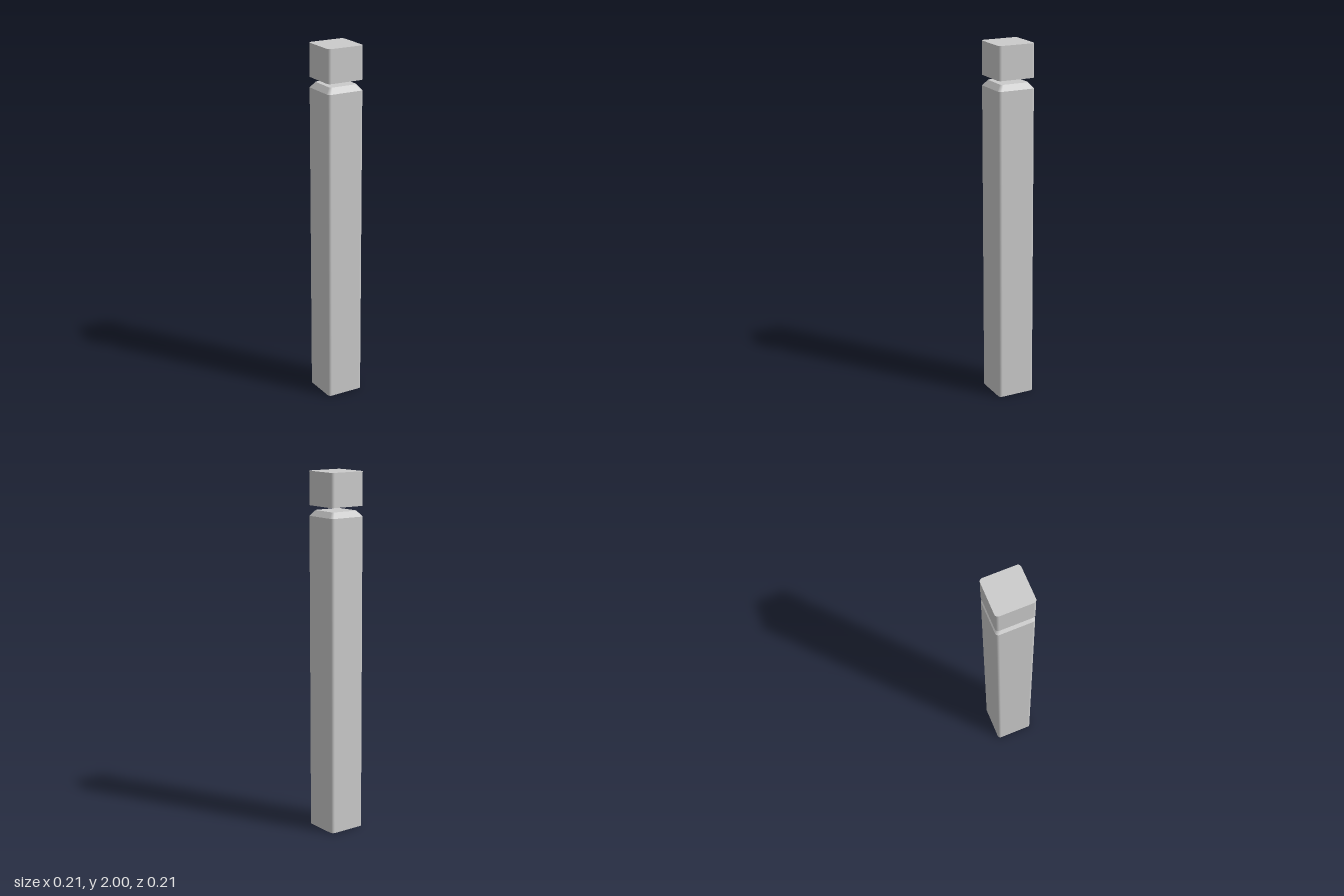
import * as THREE from 'three';

const HALF = 0.107, RADIUS = 0.018, CORNER_STEPS = 6;

// Rounded-square outline: points with their outward directions
function outline(half, radius) {
  const pts = [];
  for (let c = 0; c < 4; c++) {
    const mid = (c + 0.5) * Math.PI / 2;
    const cx = Math.sign(Math.cos(mid)) * (half - radius);
    const cz = Math.sign(Math.sin(mid)) * (half - radius);
    for (let i = 0; i <= CORNER_STEPS; i++) {
      const a = (c + i / CORNER_STEPS) * Math.PI / 2;
      const nx = Math.cos(a), nz = Math.sin(a);
      pts.push({ x: cx + radius * nx, z: cz + radius * nz, nx, nz });
    }
  }
  return pts;
}

// Closed solid through rounded-square sections [half, radius, y], bottom to top,
// with sharp edges between bands and smooth vertical corners
function loft(sections) {
  const pos = [], nor = [], idx = [];
  const add = (p, y, n) => { pos.push(p.x, y, p.z); nor.push(n.x, n.y, n.z); };

  for (let s = 0; s < sections.length - 1; s++) {
    const [h0, r0, y0] = sections[s], [h1, r1, y1] = sections[s + 1];
    const low = outline(h0, r0), high = outline(h1, r1), base = pos.length / 3;
    low.forEach((p, i) => {
      const n = new THREE.Vector3(p.nx * (y1 - y0), h0 - h1, p.nz * (y1 - y0)).normalize();
      add(p, y0, n);
      add(high[i], y1, n);
    });
    for (let i = 0; i < low.length; i++) {
      const a = base + 2 * i, b = base + 2 * ((i + 1) % low.length);
      idx.push(a, a + 1, b, b, a + 1, b + 1);
    }
  }

  // Flat end faces
  for (const [section, up] of [[sections[0], -1], [sections[sections.length - 1], 1]]) {
    const [h, r, y] = section, ring = outline(h, r), base = pos.length / 3;
    const n = new THREE.Vector3(0, up, 0);
    add({ x: 0, z: 0 }, y, n);
    ring.forEach(p => add(p, y, n));
    for (let i = 0; i < ring.length; i++) {
      const a = base + 1 + i, b = base + 1 + (i + 1) % ring.length;
      if (up > 0) idx.push(base, b, a);
      else idx.push(base, a, b);
    }
  }

  const geo = new THREE.BufferGeometry();
  geo.setAttribute('position', new THREE.Float32BufferAttribute(pos, 3));
  geo.setAttribute('normal', new THREE.Float32BufferAttribute(nor, 3));
  geo.setIndex(idx);
  return geo;
}

export function createModel() {
  const group = new THREE.Group();
  group.name = 'bollard';
  const material = new THREE.MeshStandardMaterial({ color: 0xcccccc });
  const addPart = (name, sections) => {
    const mesh = new THREE.Mesh(loft(sections), material);
    mesh.name = name;
    group.add(mesh);
  };

  // Post with a chamfered top
  addPart('post', [[HALF, RADIUS, 0], [HALF, RADIUS, 1.759], [0.082, 0.014, 1.79]]);
  // Separate block above a narrow gap
  addPart('cap', [[HALF, RADIUS, 1.816], [HALF, RADIUS, 2]]);

  return group;
}
